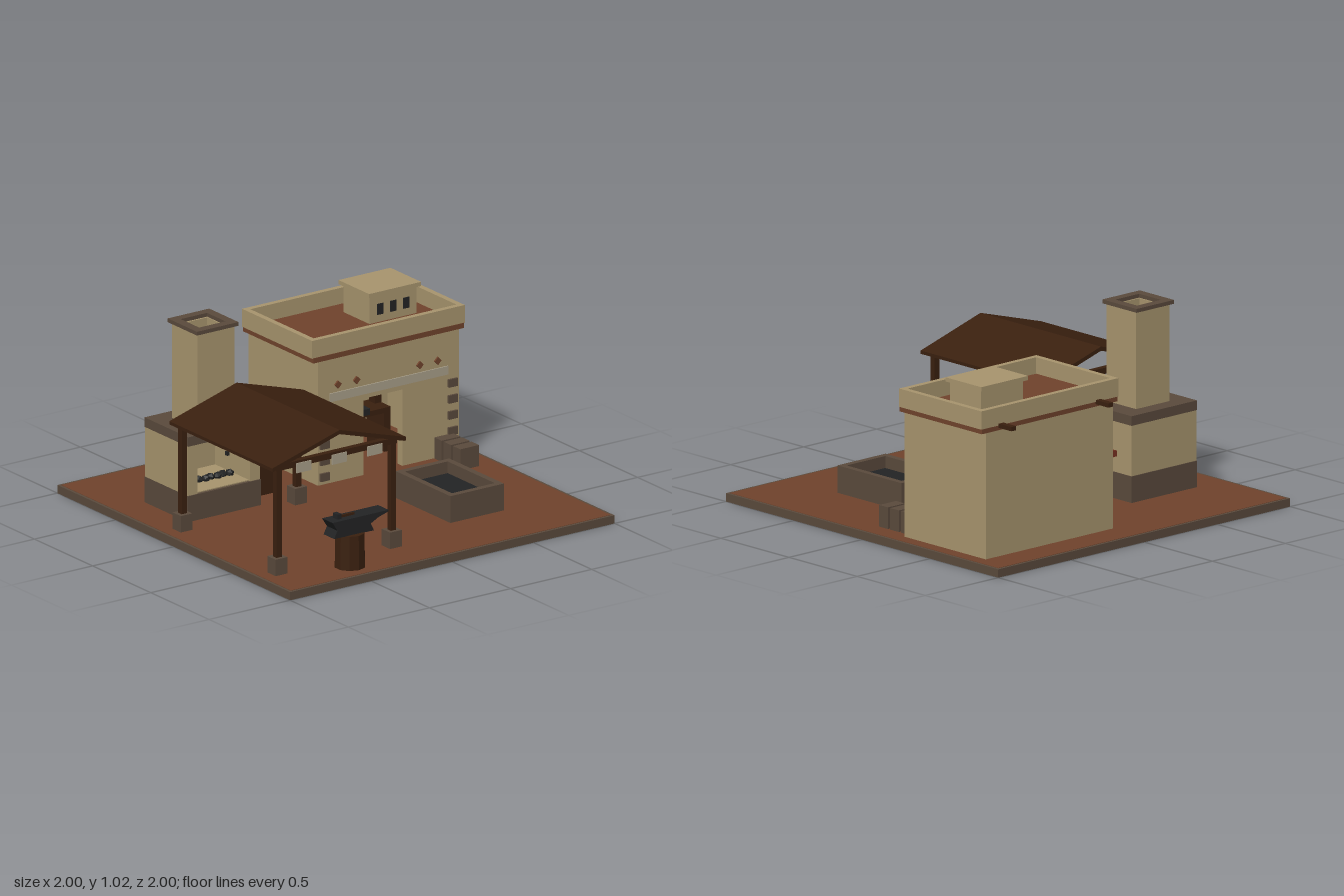
import * as THREE from 'three';

const mat = (name, color, side = THREE.FrontSide) => {
  const m = new THREE.MeshStandardMaterial({ color, side });
  m.name = name;
  return m;
};

export function createModel() {
  const root = new THREE.Group();
  root.name = 'smithyYard';
  const adobe = mat('adobe', 0xa8956e), clay = mat('terracotta', 0x70432c);
  const stone = mat('stone', 0x5a4a3c), wood = mat('dark wood', 0x3a200f);
  const iron = mat('iron', 0x222324), red = mat('red leather', 0x7a3222);
  const cloth = mat('pale plaster', 0xa89f8a, THREE.DoubleSide);

  const group = (name) => {
    const g = new THREE.Group();
    g.name = name;
    root.add(g);
    return g;
  };
  const add = (g, name, geo, m) => {
    const mesh = new THREE.Mesh(geo, m);
    mesh.name = name;
    g.add(mesh);
    return mesh;
  };
  // box given by its limits on each axis
  const box = (g, name, m, x0, x1, y0, y1, z0, z1) => {
    const b = add(g, name, new THREE.BoxGeometry(x1 - x0, y1 - y0, z1 - z0), m);
    b.position.set((x0 + x1) / 2, (y0 + y1) / 2, (z0 + z1) / 2);
    return b;
  };
  // rectangular ring of four walls, t thick
  const ring = (g, name, m, x0, x1, y0, y1, z0, z1, t) => {
    box(g, name, m, x0, x1, y0, y1, z1 - t, z1);
    box(g, name, m, x0, x1, y0, y1, z0, z0 + t);
    box(g, name, m, x0, x0 + t, y0, y1, z0 + t, z1 - t);
    box(g, name, m, x1 - t, x1, y0, y1, z0 + t, z1 - t);
  };
  // outline in x and y, extruded from z0 to z1
  const slab = (g, name, m, pts, z0, z1) => {
    const shape = new THREE.Shape(pts.map(([x, y]) => new THREE.Vector2(x, y)));
    const geo = new THREE.ExtrudeGeometry(shape, { depth: z1 - z0, bevelEnabled: false });
    return add(g, name, geo.translate(0, 0, z0), m);
  };
  const G = 0.045;

  // Ground plate
  const ground = group('ground');
  box(ground, 'groundRim', stone, -1, 1, 0, 0.043, -1, 1);
  box(ground, 'groundTop', clay, -0.985, 0.985, 0.035, G, -0.985, 0.985);

  // House walls with an open doorway
  const house = group('house');
  slab(house, 'frontWall', adobe, [[0.05, G], [0.33, G], [0.33, 0.45], [0.57, 0.45],
    [0.57, G], [0.92, G], [0.92, 0.7], [0.05, 0.7]], -0.265, -0.225);
  box(house, 'backWall', adobe, 0.05, 0.92, G, 0.7, -0.823, -0.783);
  box(house, 'sideWall', adobe, 0.05, 0.09, G, 0.7, -0.783, -0.265);
  box(house, 'sideWall', adobe, 0.88, 0.92, G, 0.7, -0.783, -0.265);
  box(house, 'clayBand', clay, 0.02, 0.95, 0.7, 0.727, -0.826, -0.223);
  box(house, 'roofDeck', clay, 0.04, 0.93, 0.72, 0.735, -0.81, -0.24);
  ring(house, 'parapet', adobe, 0.015, 0.955, 0.725, 0.82, -0.828, -0.225, 0.03);
  box(house, 'lintel', cloth, 0.12, 0.85, 0.475, 0.52, -0.225, -0.218);
  for (let i = 0; i < 5; i++) {
    const y = 0.065 + i * 0.085;
    for (const x of [0.06, 0.85]) box(house, 'cornerStone', stone, x, x + 0.055, y, y + 0.042, -0.23, -0.213);
  }
  for (const x of [0.17, 0.285, 0.675, 0.785]) {
    const d = box(house, 'diamondTile', clay, x - 0.015, x + 0.015, 0.545, 0.575, -0.225, -0.216);
    d.rotation.z = Math.PI / 4;
  }
  for (const x of [0.155, 0.82]) box(house, 'roofBeam', wood, x - 0.016, x + 0.016, 0.713, 0.735, -0.92, -0.8);

  // Small roof hatch
  box(house, 'hatch', adobe, 0.54, 0.83, 0.73, 0.88, -0.69, -0.465);
  box(house, 'hatchCap', adobe, 0.525, 0.845, 0.88, 0.902, -0.71, -0.447);
  for (const x of [0.605, 0.685, 0.765]) box(house, 'hatchWindow', iron, x - 0.018, x + 0.018, 0.775, 0.832, -0.466, -0.46);

  // Tool rack inside the house
  const rack = group('toolRack');
  box(rack, 'rackShelf', wood, 0.24, 0.66, 0.25, 0.278, -0.6, -0.45);
  box(rack, 'rackTop', wood, 0.24, 0.66, 0.385, 0.412, -0.58, -0.53);
  for (const x of [0.24, 0.62]) {
    box(rack, 'rackLeg', wood, x, x + 0.04, G, 0.25, -0.6, -0.45);
    box(rack, 'rackPost', wood, x, x + 0.04, 0.278, 0.385, -0.58, -0.53);
  }
  box(rack, 'rod', iron, 0.43, 0.44, 0.278, 0.385, -0.535, -0.52);
  for (const x of [0.375, 0.5]) {
    box(rack, 'ingot', iron, x - 0.03, x + 0.03, 0.262, 0.295, -0.5, -0.445);
    box(rack, 'hook', iron, x - 0.015, x + 0.015, 0.37, 0.41, -0.535, -0.52);
  }

  // Water trough and stacked blocks
  const trough = group('trough');
  ring(trough, 'troughWall', stone, 0.26, 0.59, G, 0.187, 0.15, 0.62, 0.033);
  box(trough, 'troughWater', iron, 0.29, 0.56, G, 0.125, 0.18, 0.59);
  const blocks = group('blocks');
  for (const z of [-0.19, -0.11, -0.03]) box(blocks, 'block', stone, 0.765, 0.88, G, 0.157, z - 0.032, z + 0.032);

  // Forge: hearth open at the front below a hollow chimney
  const forge = group('forge');
  box(forge, 'forgeBase', stone, -0.8, -0.352, G, 0.182, -0.53, -0.155);
  box(forge, 'hearthBack', adobe, -0.8, -0.355, 0.182, 0.445, -0.525, -0.46);
  for (const [a, b] of [[-0.8, -0.74], [-0.415, -0.355]]) box(forge, 'hearthSide', adobe, a, b, 0.182, 0.445, -0.46, -0.16);
  box(forge, 'hearthFloor', adobe, -0.74, -0.415, 0.18, 0.187, -0.46, -0.17);
  ring(forge, 'hearthTop', stone, -0.8, -0.352, 0.445, 0.495, -0.53, -0.155, 0.11);
  ring(forge, 'chimney', adobe, -0.692, -0.463, 0.445, 1.0, -0.445, -0.225, 0.04);
  ring(forge, 'chimneyCap', stone, -0.706, -0.45, 1.0, 1.02, -0.462, -0.21, 0.047);
  for (let i = 0; i < 8; i++) {
    const c = add(forge, 'coal', new THREE.IcosahedronGeometry(0.024, 0), iron);
    c.position.set(-0.705 + i * 0.037, 0.195, -0.3 + (i % 2) * 0.008);
    c.rotation.set(i, i * 2, 0);
  }

  // Bellows on a stand
  const bellows = group('bellows');
  box(bellows, 'bellowsStand', wood, -0.32, -0.145, G, 0.275, -0.42, -0.27);
  slab(bellows, 'bellowsBag', red, [[-0.355, 0.265], [-0.1, 0.25], [-0.1, 0.342], [-0.355, 0.295]], -0.418, -0.268);
  box(bellows, 'bellowsNozzle', iron, -0.43, -0.35, 0.27, 0.29, -0.355, -0.335);
  slab(bellows, 'bellowsHandle', wood, [[-0.12, 0.322], [-0.105, 0.322], [-0.03, 0.37], [-0.037, 0.381], [-0.12, 0.338]], -0.352, -0.332);

  // Open shelter
  const shelter = group('shelter');
  slab(shelter, 'shelterRoof', wood, [[-0.945, 0.605], [-0.935, 0.603], [-0.53, 0.72], [-0.13, 0.603],
    [-0.12, 0.605], [-0.12, 0.622], [-0.53, 0.742], [-0.945, 0.622]], -0.115, 0.77);
  for (const z of [-0.085, 0.73]) {
    for (const x of [-0.885, -0.18]) {
      box(shelter, 'post', wood, x - 0.016, x + 0.016, G, 0.615, z - 0.016, z + 0.016);
      box(shelter, 'postFoot', stone, x - 0.036, x + 0.036, G, 0.132, z - 0.036, z + 0.036);
    }
    box(shelter, 'crossBeam', wood, -0.905, -0.16, 0.59, 0.622, z - 0.016, z + 0.016);
  }
  for (const x of [-0.885, -0.18]) box(shelter, 'sideBeam', wood, x - 0.014, x + 0.014, 0.593, 0.62, -0.1, 0.745);
  for (const x of [-0.752, -0.533, -0.315]) box(shelter, 'hangingCloth', cloth, x - 0.046, x + 0.046, 0.568, 0.62, 0.77, 0.775);

  // Anvil on a stump with a hammer
  const anvil = group('anvil');
  const stump = add(anvil, 'stump', new THREE.CylinderGeometry(0.076, 0.08, 0.18, 10).toNonIndexed(), wood);
  stump.geometry.computeVertexNormals();
  stump.position.set(-0.528, 0.135, 0.855);
  slab(anvil, 'anvilBody', iron, [[-0.655, 0.225], [-0.41, 0.222], [-0.43, 0.262], [-0.385, 0.285],
    [-0.32, 0.305], [-0.32, 0.312], [-0.665, 0.312], [-0.635, 0.265]], 0.807, 0.898);
  box(anvil, 'hammerHead', iron, -0.615, -0.59, 0.312, 0.338, 0.83, 0.87);
  box(anvil, 'hammerHandle', wood, -0.59, -0.5, 0.312, 0.324, 0.845, 0.855);

  return root;
}
